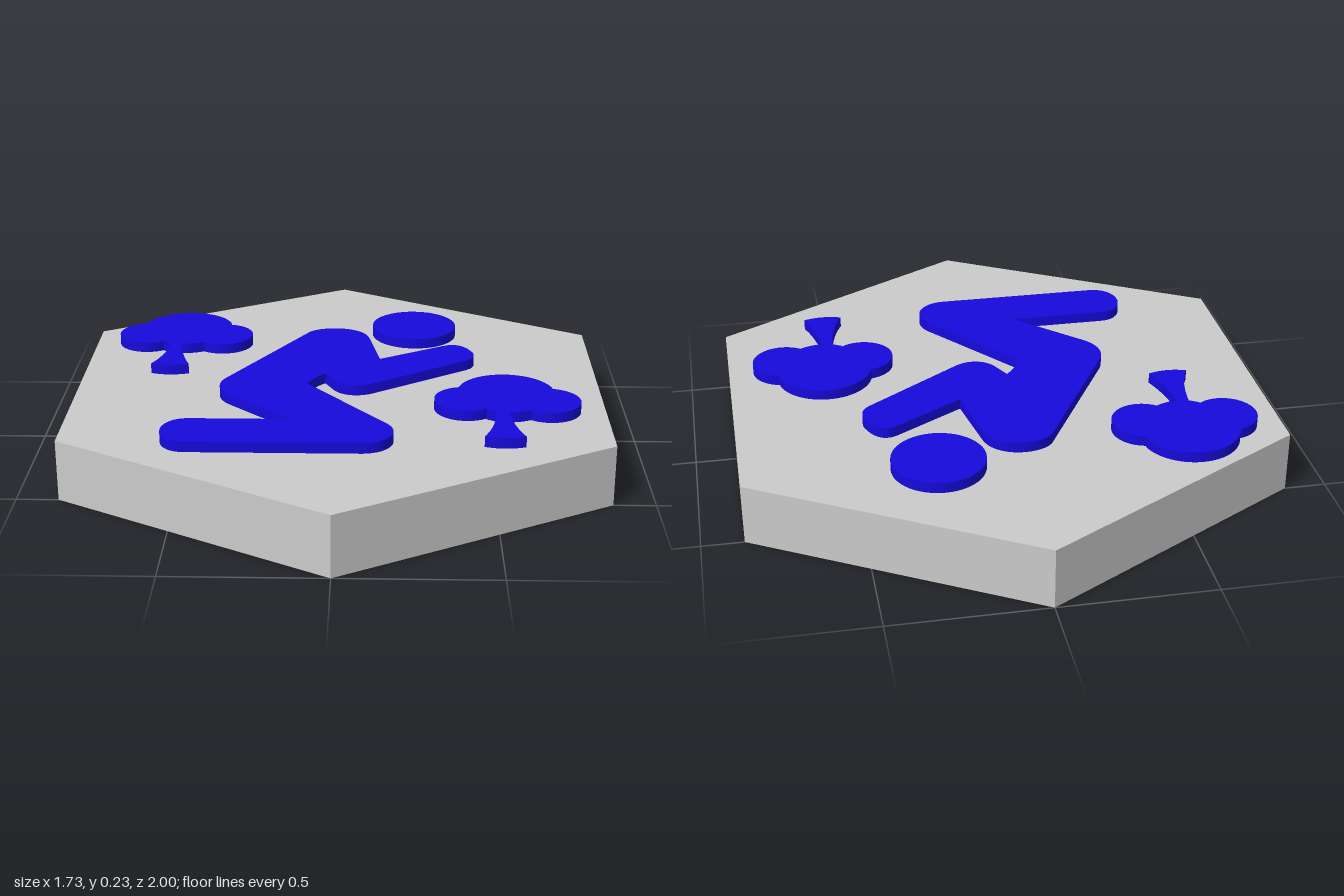
import * as THREE from 'three';
import { toCreasedNormals } from 'three/addons/utils/BufferGeometryUtils.js';

const BASE_H = 0.2, RELIEF_H = 0.035;
const deg = THREE.MathUtils.degToRad;

// Body outline, drawn with y pointing to the back of the plate
function kneelingShape() {
  const s = new THREE.Shape();
  s.moveTo(-0.113, 0.415);
  s.bezierCurveTo(-0.07, 0.475, 0.08, 0.475, 0.1, 0.355);    // shoulder
  s.lineTo(0.137, 0.148);                                    // inner elbow
  s.lineTo(0.36, 0.282);
  s.bezierCurveTo(0.41, 0.31, 0.44, 0.27, 0.458, 0.215);     // hand
  s.quadraticCurveTo(0.468, 0.165, 0.43, 0.138);
  s.lineTo(0.11, -0.085);
  s.bezierCurveTo(0.06, -0.115, 0.01, -0.1, -0.015, -0.055); // elbow
  s.lineTo(-0.045, 0.006);
  s.quadraticCurveTo(-0.08, -0.03, -0.102, -0.085);          // lap
  s.lineTo(0.16, -0.42);
  s.bezierCurveTo(0.21, -0.49, 0.16, -0.574, 0.08, -0.574);  // knee
  s.lineTo(-0.46, -0.574);
  s.bezierCurveTo(-0.57, -0.574, -0.57, -0.39, -0.46, -0.39); // foot
  s.lineTo(-0.143, -0.39);                                   // back of the knee
  s.lineTo(-0.355, -0.185);
  s.bezierCurveTo(-0.395, -0.14, -0.4, -0.085, -0.37, -0.035); // hips
  s.closePath();
  return s;
}

// Tree outline around the centre of its crown
function treeShape() {
  const s = new THREE.Shape();
  s.absarc(0, 0, 0.158, deg(166), deg(14), true);            // crown
  s.absarc(0.133, -0.069, 0.103, deg(80), deg(-128), true);  // right lobe
  s.quadraticCurveTo(0.03, -0.172, -0.005, -0.169);
  s.quadraticCurveTo(0.005, -0.285, 0.038, -0.365);          // trunk
  s.quadraticCurveTo(-0.026, -0.39, -0.09, -0.365);
  s.quadraticCurveTo(-0.05, -0.285, -0.042, -0.165);
  s.lineTo(-0.072, -0.147);
  s.absarc(-0.134, -0.06, 0.102, deg(-52), deg(-260), true); // left lobe
  s.closePath();
  return s;
}

function headShape() {
  const s = new THREE.Shape();
  s.absarc(0, 0, 0.148, 0, Math.PI * 2, false);
  return s;
}

export function createModel() {
  const group = new THREE.Group();
  const grey = new THREE.MeshStandardMaterial({ color: 0xcccccc, flatShading: true });
  const blue = new THREE.MeshStandardMaterial({ color: 0x1609dd });

  // Hexagonal plate with corners at front and back
  const base = new THREE.Mesh(new THREE.CylinderGeometry(1, 1, BASE_H, 6), grey);
  base.name = 'hexagonBase';
  base.position.y = BASE_H / 2;
  group.add(base);

  // Raised flat figures lying on the plate
  const addRelief = (name, shape, x = 0, z = 0) => {
    const geo = new THREE.ExtrudeGeometry(shape, { depth: RELIEF_H, bevelEnabled: false, curveSegments: 24 });
    geo.rotateX(-Math.PI / 2);
    const mesh = new THREE.Mesh(toCreasedNormals(geo, deg(30)), blue);
    mesh.name = name;
    mesh.position.set(x, BASE_H, z);
    group.add(mesh);
  };
  addRelief('kneelingBody', kneelingShape());
  addRelief('head', headShape(), 0.26, -0.495);
  addRelief('backTree', treeShape(), -0.55, -0.452);
  addRelief('frontTree', treeShape(), 0.549, 0.148);

  return group;
}
